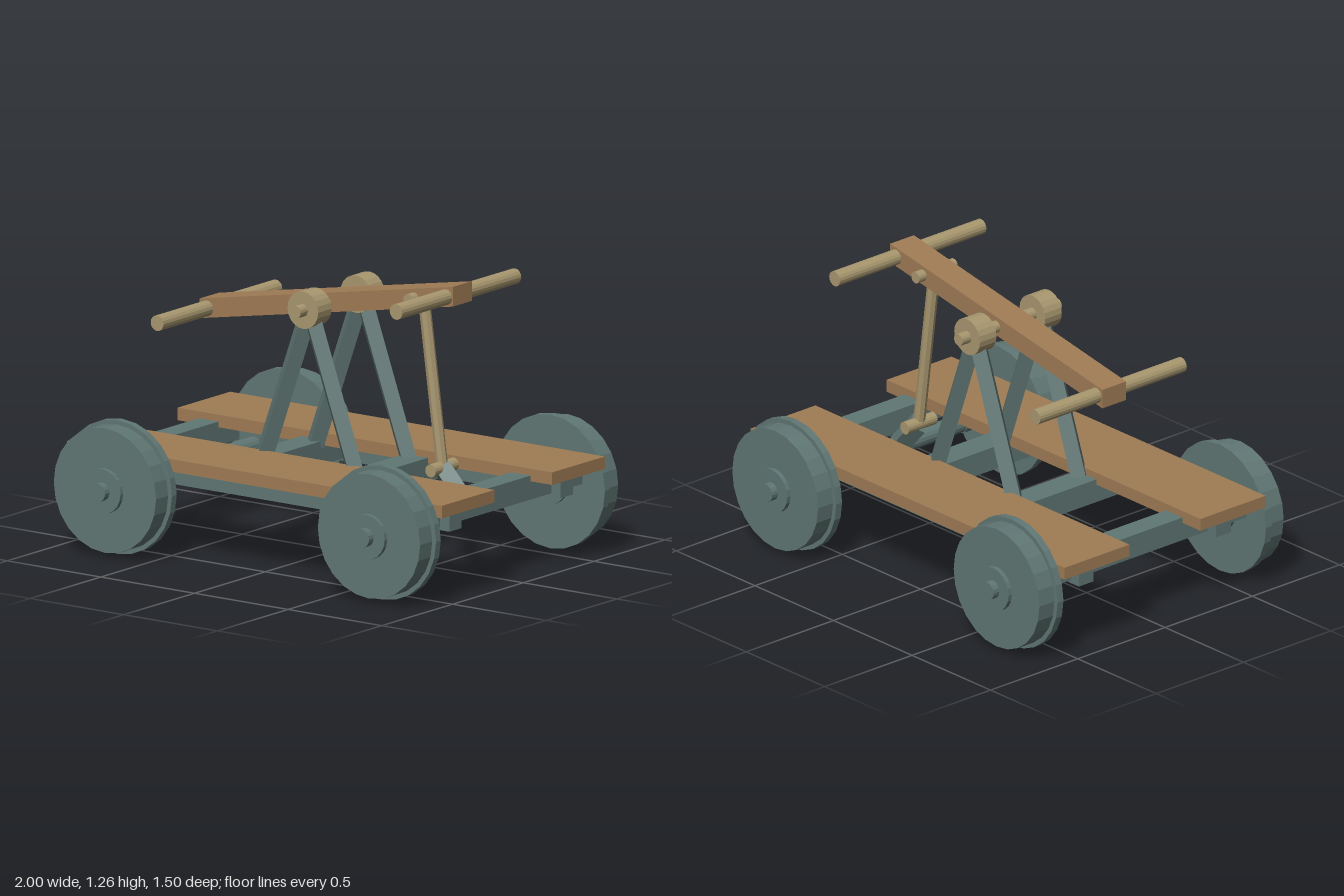
import * as THREE from 'three';

const material = (color) => new THREE.MeshStandardMaterial({ color, flatShading: true });

export function createModel() {
  const model = new THREE.Group();
  model.name = 'railHandcar';
  const metal = material(0x607774);
  const plank = material(0xa07c55);
  const pole = material(0xa8976f);

  const add = (name, geometry, mat, x = 0, y = 0, z = 0) => {
    const mesh = new THREE.Mesh(geometry, mat);
    mesh.name = name;
    mesh.position.set(x, y, z);
    model.add(mesh);
    return mesh;
  };
  const box = (name, mat, size, x, y, z) => add(name, new THREE.BoxGeometry(...size), mat, x, y, z);
  // Cylinder lying along z
  const pin = (name, mat, r, length, x, y, z = 0, sides = 16) =>
    add(name, new THREE.CylinderGeometry(r, r, length, sides).rotateX(Math.PI / 2), mat, x, y, z);
  // Straight bar between two points; four sides give a diamond section
  const bar = (name, mat, r, a, b, sides) => {
    const from = new THREE.Vector3(...a), to = new THREE.Vector3(...b);
    const dir = to.clone().sub(from);
    const mesh = add(name, new THREE.CylinderGeometry(r, r, dir.length(), sides), mat);
    mesh.position.copy(from).add(to).multiplyScalar(0.5);
    mesh.quaternion.setFromUnitVectors(new THREE.Vector3(0, 1, 0), dir.normalize());
    return mesh;
  };

  // Deck planks, long beams and pump stands on both sides
  for (const side of [-1, 1]) {
    box('deckPlank', plank, [2, 0.055, 0.372], 0, 0.422, side * 0.39);
    box('longBeam', metal, [1.87, 0.095, 0.085], 0, 0.348, side * 0.393);
    for (const end of [-1, 1]) {
      bar('standLeg', metal, 0.045, [end * 0.25, 0.4, side * 0.185], [0, 1.1, side * 0.185], 4);
    }
    pin('pivotHub', pole, 0.082, 0.095, 0, 1.1, side * 0.187, 20);
  }

  // Cross beams, axles and flanged wheels at both ends
  for (const end of [-1, 1]) {
    box('endCrossBeam', metal, [0.105, 0.105, 1.14], end * 0.833, 0.367, 0);
    box('middleCrossBeam', metal, [0.125, 0.105, 0.8], end * 0.275, 0.367, 0);
    const x = end * 0.705, y = 0.298;
    pin('axle', metal, 0.04, 1.505, x, y);
    for (const side of [-1, 1]) {
      pin('axleBearing', metal, 0.044, 0.11, x, y, side * 0.415);
      pin('wheelTread', metal, 0.273, 0.09, x, y, side * 0.655, 24);
      pin('wheelFlange', metal, 0.293, 0.034, x, y, side * 0.597, 24);
      pin('wheelHub', metal, 0.098, 0.155, x, y, side * 0.6425, 20);
    }
  }

  // Rocking lever with upright cut ends
  const lever = new THREE.Shape([
    new THREE.Vector2(-0.677, 0.938), new THREE.Vector2(0.675, 1.18),
    new THREE.Vector2(0.675, 1.266), new THREE.Vector2(-0.677, 1.024),
  ]);
  add('rockingLever', new THREE.ExtrudeGeometry(lever, { depth: 0.136, bevelEnabled: false }), plank, 0, 0, -0.068);
  pin('leverPivot', pole, 0.027, 0.57, 0, 1.1);
  for (const end of [-1, 1]) {
    pin('handle', pole, 0.034, 0.84, end * 0.638, 1.102 + end * 0.115);
  }

  // Connecting rod and crank to the driven axle
  pin('rodTopPin', pole, 0.026, 0.22, 0.468, 1.187);
  bar('connectingRod', pole, 0.026, [0.468, 1.187, 0], [0.567, 0.45, 0], 8);
  pin('rodBottomPin', pole, 0.028, 0.165, 0.567, 0.448);
  bar('crank', metal, 0.05, [0.705, 0.298, 0], [0.567, 0.448, 0], 4);

  return model;
}
